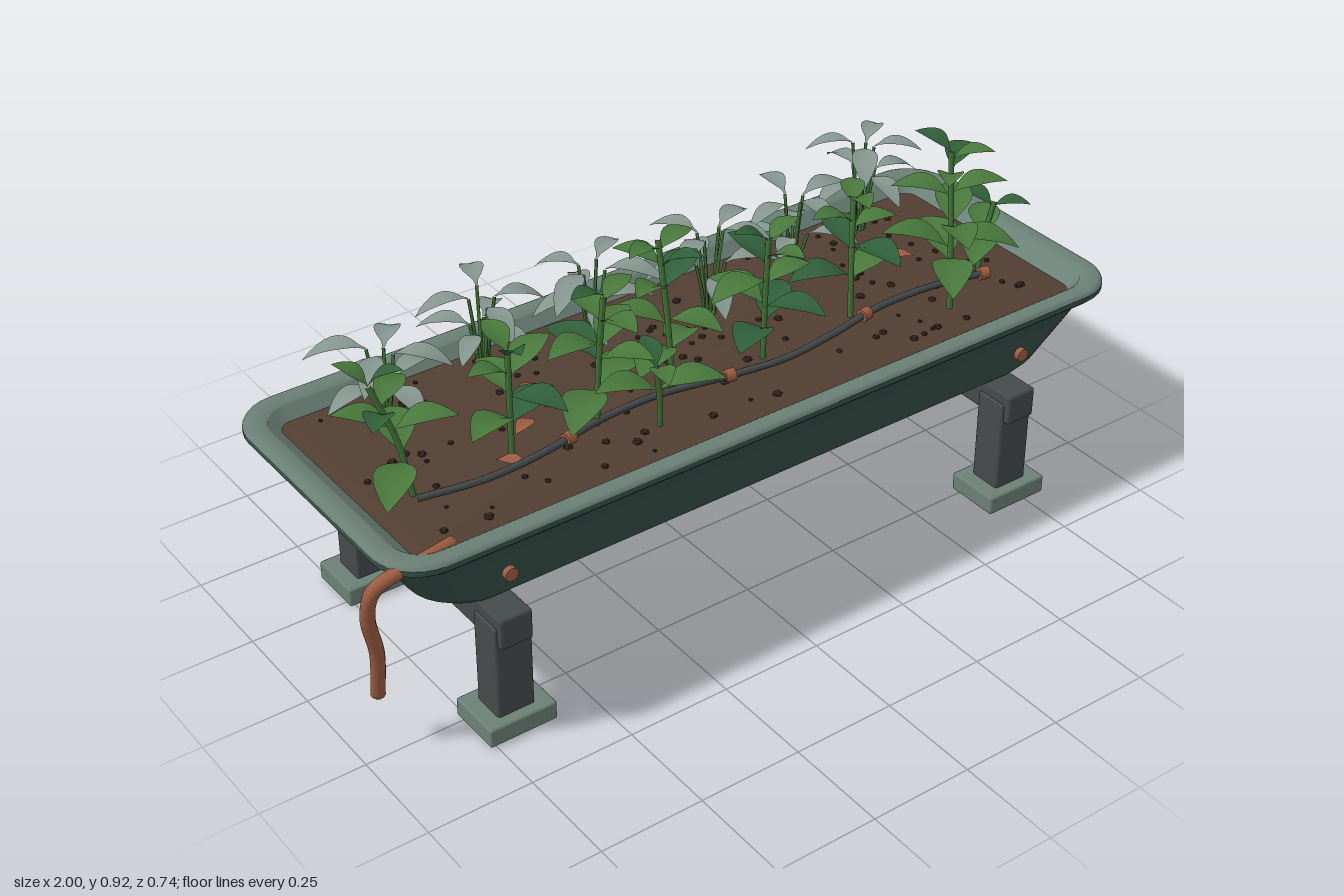
import * as THREE from 'three';
import { toCreasedNormals } from 'three/addons/utils/BufferGeometryUtils.js';
import { RoundedBoxGeometry } from 'three/addons/geometries/RoundedBoxGeometry.js';

const paint = (name, color, side = THREE.FrontSide) => {
  const m = new THREE.MeshStandardMaterial({ color, side });
  m.name = name;
  return m;
};
const V = (x, y, z) => new THREE.Vector3(x, y, z);

// Lofts rounded rectangles given as [halfX, halfZ, cornerRadius, y]
function loft(sections, centreX, crease = 0.6) {
  const pos = [], index = [], k = 7, n = 4 * (k + 1);
  for (const [hx, hz, r, y] of sections) {
    for (let q = 0; q < 4; q++) {
      const sx = q === 0 || q === 3 ? 1 : -1, sz = q < 2 ? 1 : -1;
      for (let j = 0; j <= k; j++) {
        const a = (q + j / k) * Math.PI / 2;
        pos.push(centreX + sx * (hx - r) + r * Math.cos(a), y, sz * (hz - r) + r * Math.sin(a));
      }
    }
  }
  for (let s = 0; s < sections.length - 1; s++) {
    for (let i = 0; i < n; i++) {
      const a = s * n + i, b = s * n + (i + 1) % n;
      index.push(a, a + n, b, b, a + n, b + n);
    }
  }
  const g = new THREE.BufferGeometry();
  g.setAttribute('position', new THREE.Float32BufferAttribute(pos, 3));
  g.setIndex(index);
  return toCreasedNormals(g, crease);
}

// Unit-long leaf along +z: narrow stalk, oval blade, folded on the midrib, drooping tip
function leafGeometry(width, rise, droop, fold) {
  const g = new THREE.PlaneGeometry(2, 1, 2, 9), p = g.attributes.position;
  for (let i = 0; i < p.count; i++) {
    const s = p.getX(i), t = p.getY(i) + 0.5;
    const blade = Math.max(0, (t - 0.08) / 0.92);
    const w = 0.5 * width * Math.sin(Math.PI * Math.pow(blade, 0.9)) + (t < 0.95 ? 0.02 : 0.002);
    p.setXYZ(i, -s * w, rise * t - droop * t * t + fold * Math.abs(s) * w, t);
  }
  g.computeVertexNormals();
  return g;
}

export function createModel() {
  const model = new THREE.Group();
  model.name = 'raisedPlanter';
  let seed = 11;
  const rnd = (a = 0, b = 1) => {
    seed = (seed * 16807) % 2147483647;
    return a + (b - a) * seed / 2147483647;
  };

  const D = THREE.DoubleSide;
  const hull = paint('dark green shell', 0x375149);
  const trim = paint('grey green trim', 0x6b8076);
  const soil = paint('soil brown', 0x533f33);
  const clod = paint('dark earth', 0x37291f);
  const copper = paint('copper', 0x9c5d42, D);
  const frame = paint('charcoal', 0x454a4b);
  const leafMid = paint('leaf green', 0x49783c, D);
  const leafDark = paint('deep leaf green', 0x31603a, D);
  const silver = paint('silver leaf', 0x85968f, D);
  const stemGreen = paint('stem green', 0x437538);

  const add = (name, geo, mat, x = 0, y = 0, z = 0, parent = model) => {
    const m = new THREE.Mesh(geo, mat);
    m.name = name;
    m.position.set(x, y, z);
    parent.add(m);
    return m;
  };
  const tube = (name, pts, r, mat, parent = model, seg = 32, sides = 12) => {
    const curve = new THREE.CatmullRomCurve3(pts);
    add(name, new THREE.TubeGeometry(curve, seg, r, sides), mat, 0, 0, 0, parent);
    return curve;
  };
  const disc = (name, curve, t, r, length, mat) => {
    const p = curve.getPoint(t);
    const m = add(name, new THREE.CylinderGeometry(r, r, length, 16), mat, p.x, p.y, p.z);
    m.quaternion.setFromUnitVectors(V(0, 1, 0), curve.getTangent(t));
  };

  // Trough: outer shell, rim, inner wall and soil
  const cx = 0.024;
  add('troughShell', loft([
    [0, 0, 0, 0.31], [0.80, 0.262, 0.10, 0.31], [0.825, 0.275, 0.11, 0.314], [0.852, 0.289, 0.115, 0.335],
    [0.932, 0.345, 0.11, 0.488], [0.942, 0.353, 0.11, 0.497], [0.968, 0.364, 0.11, 0.502], [0.975, 0.369, 0.11, 0.508],
    [0.975, 0.369, 0.11, 0.521]], cx), hull);
  add('rim', loft([
    [0.975, 0.369, 0.11, 0.521], [0.972, 0.366, 0.108, 0.527], [0.964, 0.359, 0.10, 0.53],
    [0.934, 0.330, 0.08, 0.53], [0.925, 0.322, 0.075, 0.525]], cx, 1), trim);
  add('innerWall', loft([[0.925, 0.322, 0.07, 0.525], [0.883, 0.293, 0.03, 0.49]], cx), trim);
  add('soilBed', loft([[0.89, 0.298, 0.03, 0.496], [0.85, 0.26, 0.03, 0.501], [0, 0, 0, 0.504]], cx), soil);

  // Clods scattered on the soil
  const clodGeo = new THREE.IcosahedronGeometry(1, 0);
  for (let i = 0; i < 130; i++) {
    const r = rnd(0.005, 0.012);
    const m = add('soilClod', clodGeo, clod, cx + rnd(-0.84, 0.84), 0.503, rnd(-0.27, 0.27));
    m.scale.set(r, r * 0.7, r);
    m.rotation.y = rnd(0, 6);
  }

  // Two trestles with posts, feet and a cross beam
  for (const x of [-0.68, 0.722]) {
    add('crossBeam', new RoundedBoxGeometry(0.08, 0.077, 0.704, 2, 0.007), frame, x, 0.271, 0);
    for (const z of [-0.295, 0.295]) {
      add('post', new RoundedBoxGeometry(0.092, 0.245, 0.084, 2, 0.007), frame, x, 0.16, z);
      add('foot', new RoundedBoxGeometry(0.168, 0.047, 0.138, 2, 0.006), trim, x, 0.0235, z);
    }
    const stud = add('frontStud', new THREE.CylinderGeometry(0.016, 0.016, 0.014, 16), copper, x, 0.409, 0.336);
    stud.rotation.x = Math.PI / 2;
  }

  // Drain with a copper collar
  add('drainCollar', new THREE.CylinderGeometry(0.035, 0.035, 0.02, 20), copper, 0.748, 0.301, -0.19);
  const drain = tube('drainPipe', [V(0.738, 0.30, -0.19), V(0.741, 0.235, -0.19), V(0.775, 0.168, -0.195),
    V(0.83, 0.138, -0.205), V(0.88, 0.131, -0.212)], 0.02, trim);
  disc('drainEnd', drain, 1, 0.02, 0.004, trim);

  // Copper feed hose hanging over the end of the rim
  const hose = tube('feedHose', [V(-0.79, 0.512, 0.30), V(-0.87, 0.514, 0.316), V(-0.93, 0.508, 0.315), V(-0.975, 0.475, 0.30),
    V(-0.982, 0.40, 0.28), V(-0.955, 0.28, 0.255), V(-0.945, 0.15, 0.225)], 0.016, copper, model, 48);
  for (const t of [0, 1]) disc('hoseEnd', hose, t, 0.016, 0.004, copper);

  // Drip line along the front row, held by copper clips
  const dripPoints = [];
  for (let i = 0; i <= 10; i++) dripPoints.push(V(-0.77 + i * 0.156, 0.514, 0.13 + 0.025 * Math.sin(i * 1.3)));
  const drip = tube('dripLine', dripPoints, 0.008, frame, model, 60, 8);
  for (const t of [0.24, 0.51, 0.77, 0.99]) disc('dripClip', drip, t, 0.015, 0.024, copper);

  const broadLeaf = leafGeometry(0.52, 0.42, 0.50, 0.30);
  const slimLeaf = leafGeometry(0.40, 0.42, 0.66, 0.22);
  const leaf = (geo, mat, p, size, yaw, pitch, parent) => {
    const m = add('leaf', geo, mat, p.x, p.y, p.z, parent);
    m.scale.setScalar(size);
    m.rotation.set(-pitch, yaw, 0, 'YXZ');
  };

  // Front row: upright stems with opposite pairs of broad leaves [x, z, top, leanX, leanZ]
  const greens = [
    [-0.76, 0.10, 0.78, -0.07, -0.03], [-0.52, 0.10, 0.76, 0.0, 0.0], [-0.31, 0.11, 0.83, 0.01, 0.02],
    [-0.10, 0.10, 0.87, -0.01, -0.04], [-0.20, 0.19, 0.68, -0.03, 0.03], [0.14, 0.11, 0.81, 0.01, 0.0],
    [0.41, 0.09, 0.79, 0.02, -0.03], [0.62, 0.195, 0.89, 0.01, -0.04], [0.78, 0.11, 0.68, 0.04, 0.0]];
  for (const [x, z, top, lx, lz] of greens) {
    const plant = new THREE.Group();
    plant.name = 'broadLeafPlant';
    model.add(plant);
    const curve = tube('stem', [V(x, 0.49, z), V(x + lx * 0.3, 0.49 + (top - 0.49) * 0.5, z + lz * 0.4),
      V(x + lx, top, z + lz)], 0.0068, stemGreen, plant, 12, 7);
    const tiers = Math.round((top - 0.53) / 0.062);
    const start = rnd(0, 3);
    for (let t = 0; t < tiers; t++) {
      const f = (t + 1) / tiers;
      for (const half of [0, Math.PI]) {
        const p = curve.getPoint(Math.min(1, 0.17 + 0.82 * f + rnd(-0.06, 0.04)));
        const size = (0.158 - 0.062 * f * f) * rnd(0.88, 1.12);
        const mat = rnd() < 0.3 ? leafDark : leafMid;
        leaf(broadLeaf, mat, p, size, start + t * 1.45 + half + rnd(-0.3, 0.3), f * 0.4 + rnd(-0.25, 0.25), plant);
      }
    }
  }

  // Back row: clumps of fanned stems, each ending in a drooping silver leaf [x, z, height]
  const silvers = [[-0.67, -0.16, 0.69], [-0.395, -0.21, 0.70], [-0.145, -0.15, 0.71],
    [0.155, -0.11, 0.72], [0.43, -0.155, 0.69], [0.69, -0.215, 0.73]];
  for (const [x, z, h] of silvers) {
    const plant = new THREE.Group();
    plant.name = 'silverLeafPlant';
    model.add(plant);
    const turn = rnd(0, 6), count = 8;
    for (let i = 0; i < count; i++) {
      const a = turn + i * Math.PI * 2 / count + rnd(-0.2, 0.2);
      const y = h - (i % 2) * 0.08 + rnd(-0.012, 0.012);
      const out = rnd(0.022, 0.04), sx = Math.sin(a), cz = Math.cos(a);
      const tip = V(x + sx * out, y, z + cz * out);
      tube('stem', [V(x + sx * 0.01, 0.49, z + cz * 0.01), V(x + sx * out * 0.55, (0.49 + y) / 2, z + cz * out * 0.55), tip],
        0.004, stemGreen, plant, 6, 5);
      leaf(slimLeaf, silver, tip, rnd(0.105, 0.14), a, rnd(-0.05, 0.2), plant);
    }
  }

  // Dry fallen leaves
  const dry = leafGeometry(0.5, 0.3, 0.3, 0.4);
  for (const [x, z, yaw] of [[-0.41, 0.02, -1.2], [-0.39, -0.06, 2.2], [0.64, -0.06, 1.1], [-0.56, 0.10, 0.6]]) {
    const m = add('fallenLeaf', dry, copper, x, 0.507, z);
    m.scale.setScalar(0.07);
    m.rotation.y = yaw;
  }
  return model;
}
